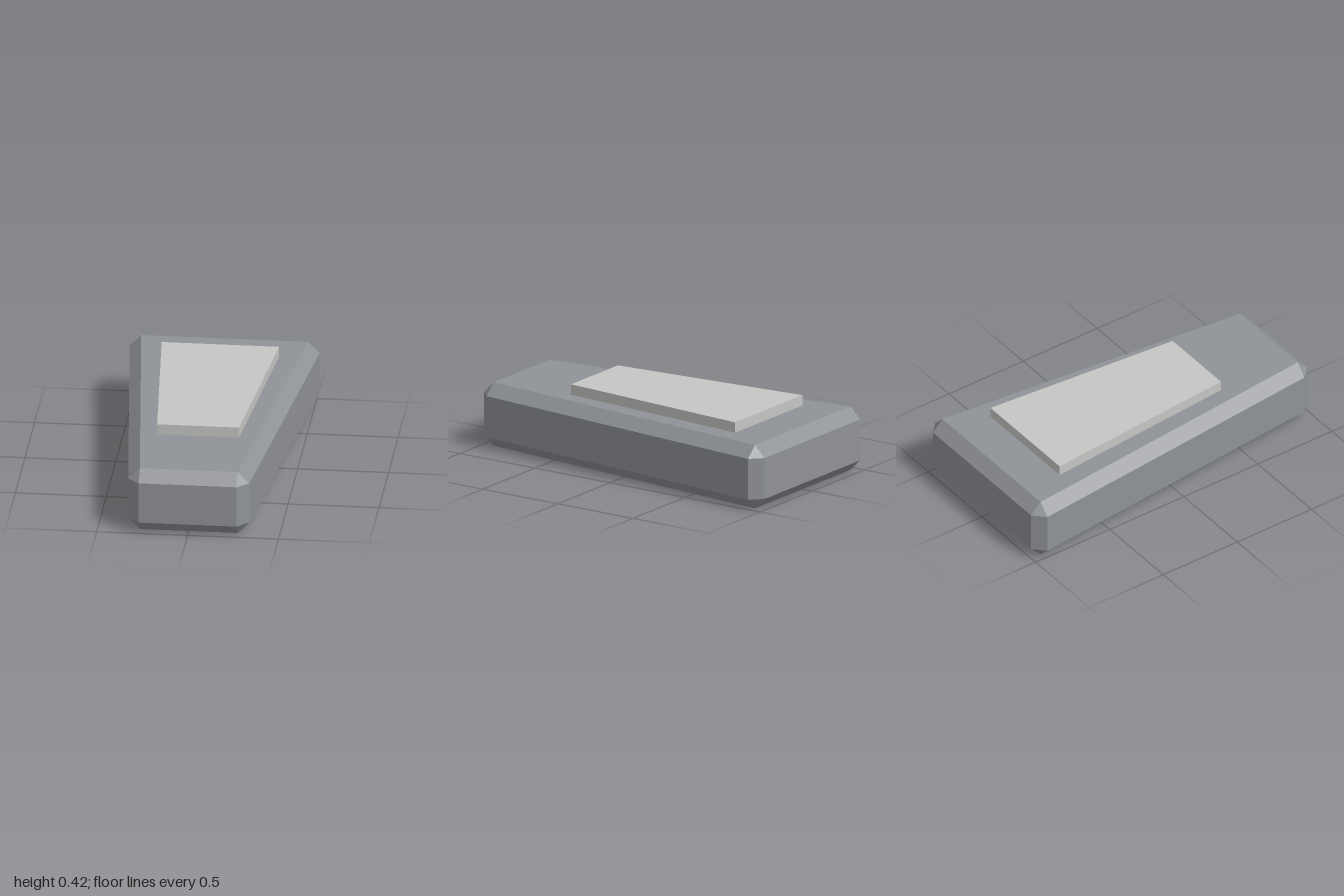
import * as THREE from 'three';
import { ConvexGeometry } from 'three/addons/geometries/ConvexGeometry.js';

const bodyGrey = new THREE.MeshStandardMaterial({ color: 0x8f9297 });
bodyGrey.name = 'bodyGrey';
const plateGrey = new THREE.MeshStandardMaterial({ color: 0xc6c6c3 });
plateGrey.name = 'plateGrey';

// Tapered block with every edge and corner chamfered
function chamferedWedge(frontHalf, backHalf, height, halfLength, bevel) {
  const points = [];
  for (const sx of [-1, 1]) for (const top of [0, 1]) for (const sz of [-1, 1]) {
    const outerX = sz > 0 ? frontHalf : backHalf;
    const innerX = outerX - bevel;
    const outerY = top * height;
    const innerY = top ? height - bevel : bevel;
    const innerZ = halfLength - bevel;
    points.push(
      new THREE.Vector3(sx * outerX, innerY, sz * innerZ),
      new THREE.Vector3(sx * innerX, outerY, sz * innerZ),
      new THREE.Vector3(sx * innerX, innerY, sz * halfLength),
    );
  }
  return new ConvexGeometry(points);
}

// Flat trapezoid slab lying on its side of the ground plane
function taperedSlab(frontHalf, backHalf, frontZ, backZ, thickness) {
  const shape = new THREE.Shape([
    new THREE.Vector2(-frontHalf, -frontZ),
    new THREE.Vector2(frontHalf, -frontZ),
    new THREE.Vector2(backHalf, -backZ),
    new THREE.Vector2(-backHalf, -backZ),
  ]);
  return new THREE.ExtrudeGeometry(shape, { depth: thickness, bevelEnabled: false })
    .rotateX(-Math.PI / 2);
}

export function createModel() {
  const model = new THREE.Group();
  model.name = 'taperedBlock';

  // Main chamfered body
  const body = new THREE.Mesh(chamferedWedge(0.333, 0.523, 0.361, 1, 0.064), bodyGrey);
  body.name = 'body';
  model.add(body);

  // Raised plate, sunk slightly into the top of the body
  const plate = new THREE.Mesh(taperedSlab(0.225, 0.323, 0.45, -0.71, 0.065), plateGrey);
  plate.name = 'topPlate';
  plate.position.y = 0.355;
  model.add(plate);

  return model;
}
